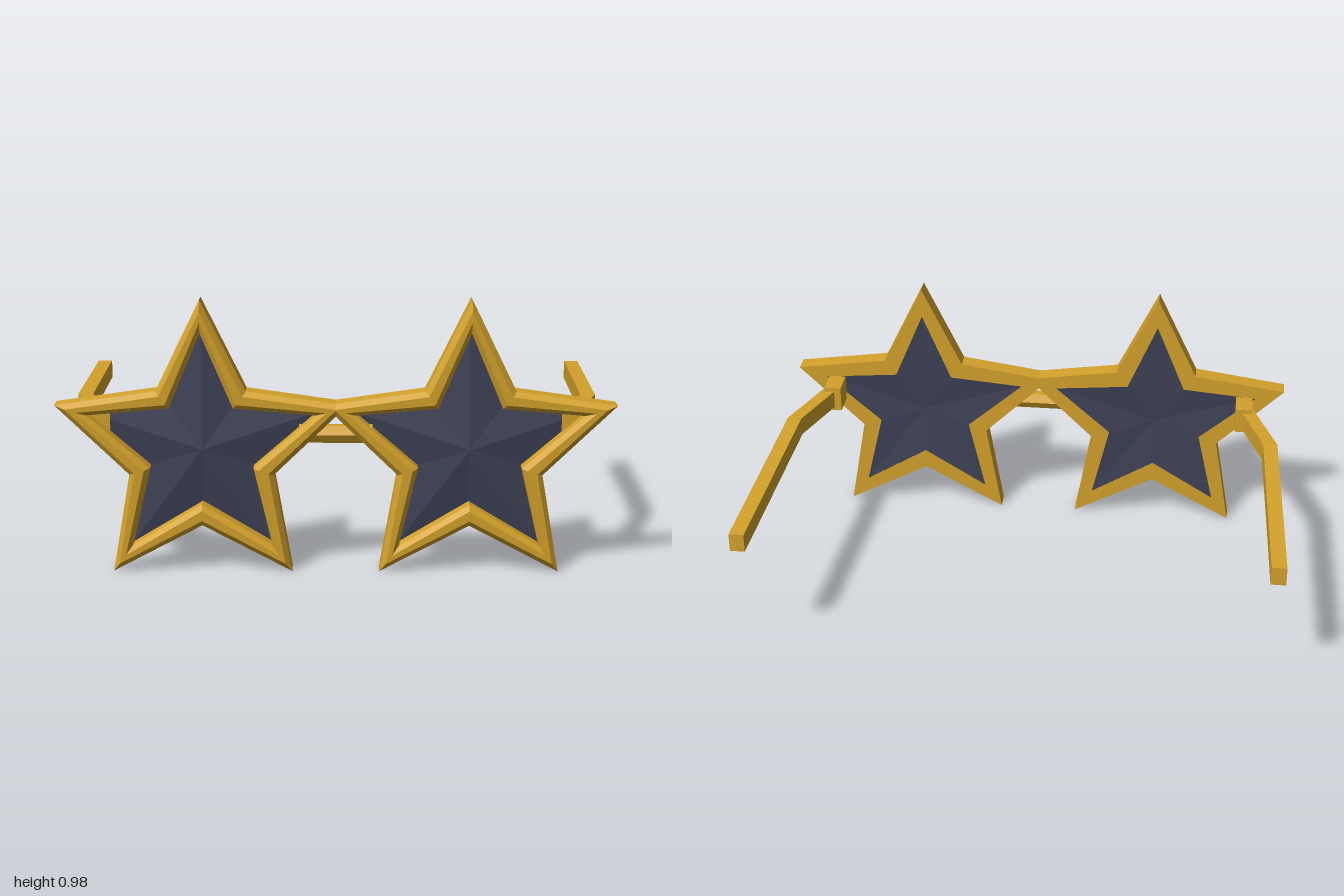
import * as THREE from 'three';

const gold = new THREE.MeshStandardMaterial({ color: 0xd4a22c });
gold.name = 'gold';
const darkLens = new THREE.MeshStandardMaterial({ color: 0x3d4256 });
darkLens.name = 'darkLens';

// Flat-shaded skin over rings of equal point count, counter-clockwise seen from +z
function loft(rings, closed = false) {
  const pos = [];
  const tri = (a, b, c) => {
    const area = b.clone().sub(a).cross(c.clone().sub(a)).length();
    if (area > 1e-9) for (const p of [a, b, c]) pos.push(p.x, p.y, p.z);
  };
  const last = closed ? rings.length : rings.length - 1;
  for (let k = 0; k < last; k++) {
    const a = rings[k], b = rings[(k + 1) % rings.length];
    for (let i = 0; i < a.length; i++) {
      const j = (i + 1) % a.length;
      tri(a[i], a[j], b[j]);
      tri(a[i], b[j], b[i]);
    }
  }
  const g = new THREE.BufferGeometry();
  g.setAttribute('position', new THREE.Float32BufferAttribute(pos, 3));
  g.computeVertexNormals();
  return g;
}

// Five-pointed star ring: tip radius, valley radius, depth
function star(tip, valley, z) {
  return Array.from({ length: 10 }, (_, i) => {
    const r = i % 2 ? valley : tip, a = Math.PI / 2 + i * Math.PI / 5;
    return new THREE.Vector3(r * Math.cos(a), r * Math.sin(a), z);
  });
}

// Rectangular ring centred on (x, y) at depth z
function rect(x, y, z, w, h) {
  return [[1, 1], [-1, 1], [-1, -1], [1, -1]].map(
    ([u, v]) => new THREE.Vector3(x + u * w / 2, y + v * h / 2, z));
}

export function createModel() {
  const model = new THREE.Group();
  model.name = 'starGlasses';
  const add = (name, geometry, material, x = 0, y = 0, z = 0) => {
    const mesh = new THREE.Mesh(geometry, material);
    mesh.name = name;
    mesh.position.set(x, y, z);
    model.add(mesh);
    return mesh;
  };

  // Frame section: straight sides, chamfered inner and outer front edges
  const frame = loft([
    star(0.543, 0.27, 0.54), star(0.543, 0.27, 0.612),
    star(0.503, 0.25, 0.63), star(0.465, 0.213, 0.63),
    star(0.425, 0.193, 0.612), star(0.425, 0.193, 0.54),
  ], true);

  // Lens: thin star with a slightly raised, faceted centre
  const lens = loft([
    star(0, 0, 0.555), star(0.427, 0.195, 0.541),
    star(0.427, 0.195, 0.56), star(0, 0, 0.585),
  ]);

  for (const s of [1, -1]) {
    const side = s > 0 ? 'left' : 'right';
    add(side + 'Frame', frame, gold, s * 0.475, 0.441);
    add(side + 'Lens', lens, darkLens, s * 0.475, 0.441);
    add(side + 'Hinge', new THREE.BoxGeometry(0.066, 0.1, 0.135), gold, s * 0.834, 0.526, 0.5);

    // Temple arm, bent outward behind the hinge and dropping toward the tip
    add(side + 'Temple', loft([
      rect(s * 0.972, 0.49, -0.63, 0, 0),
      rect(s * 0.972, 0.49, -0.63, 0.055, 0.07),
      rect(s * 0.938, 0.525, 0.195, 0.055, 0.07),
      rect(s * 0.843, 0.525, 0.47, 0.055, 0.07),
      rect(s * 0.843, 0.525, 0.47, 0, 0),
    ]), gold);
  }

  // Hexagonal bridge bar joining the two frames
  const bar = new THREE.CylinderGeometry(0.035, 0.035, 0.26, 6).toNonIndexed();
  bar.rotateZ(Math.PI / 2);
  bar.computeVertexNormals();
  add('bridge', bar, gold, 0, 0.5, 0.575);

  return model;
}
